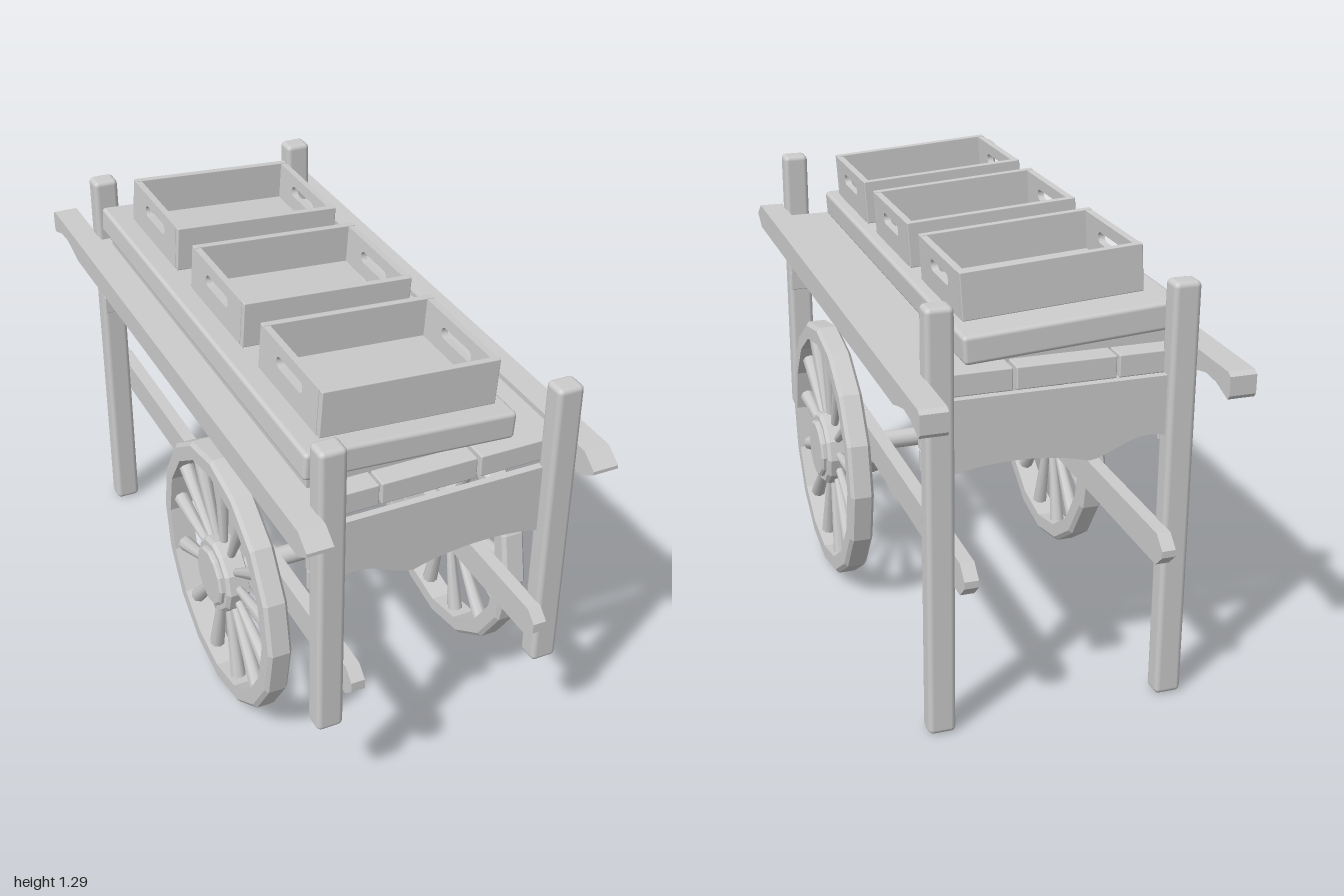
import * as THREE from 'three';
import { RoundedBoxGeometry } from 'three/addons/geometries/RoundedBoxGeometry.js';

const smooth = new THREE.MeshStandardMaterial({ color: 0xcccccc });
const flat = new THREE.MeshStandardMaterial({ color: 0xcccccc, flatShading: true });

function add(parent, name, geometry, material = flat) {
  const mesh = new THREE.Mesh(geometry, material);
  mesh.name = name;
  parent.add(mesh);
  return mesh;
}

// Rounded block given by its limits on each axis
function block(parent, name, [x0, x1], [y0, y1], [z0, z1], radius = 0.006) {
  const mesh = add(parent, name, new RoundedBoxGeometry(x1 - x0, y1 - y0, z1 - z0, 2, radius), smooth);
  mesh.position.set((x0 + x1) / 2, (y0 + y1) / 2, (z0 + z1) / 2);
  return mesh;
}

// Outline of [z, y] points extruded along x from x0 to x1
function sidePiece(points, x0, x1, holes = []) {
  const shape = new THREE.Shape(points.map(([z, y]) => new THREE.Vector2(z, y)));
  shape.holes.push(...holes);
  return new THREE.ExtrudeGeometry(shape, { depth: x1 - x0, bevelEnabled: false, curveSegments: 6 })
    .rotateY(-Math.PI / 2).translate(x1, 0, 0);
}

// Lathe of [radius, x] points around the x axis
function turned(profile, sides) {
  return new THREE.LatheGeometry(profile.map(([r, x]) => new THREE.Vector2(r, x)), sides)
    .rotateZ(-Math.PI / 2);
}

function createWheel() {
  const wheel = new THREE.Group();
  wheel.name = 'wheel';
  // Rim with chamfered outer edges
  add(wheel, 'rim', turned([[0.355, -0.036], [0.398, -0.036], [0.41, -0.026], [0.41, 0.026],
    [0.398, 0.036], [0.355, 0.036], [0.355, -0.036]], 16));
  // Stepped hub
  add(wheel, 'hub', turned([[0, -0.04], [0.09, -0.04], [0.118, -0.03], [0.118, 0.028], [0.108, 0.038],
    [0.092, 0.038], [0.092, 0.047], [0.085, 0.053], [0, 0.053]], 12));
  // Spokes widen towards the rim
  const count = 13;
  for (let i = 0; i < count; i++) {
    const spoke = add(wheel, 'spoke',
      new THREE.CylinderGeometry(0.025, 0.012, 0.27, 8).translate(0, 0.235, 0), smooth);
    spoke.rotation.x = (i / count) * Math.PI * 2;
  }
  return wheel;
}

function createCrate() {
  const crate = new THREE.Group();
  crate.name = 'crate';
  const w = 0.515, h = 0.135, d = 0.384, t = 0.02;
  block(crate, 'crateFloor', [-w / 2 + t, w / 2 - t], [0, t], [-d / 2 + t, d / 2 - t], 0.002);
  for (const s of [-1, 1]) {
    // Long walls
    const wall = block(crate, 'crateWall', [-w / 2, w / 2], [0, h], [-t / 2, t / 2], 0.003);
    wall.position.z = s * (d - t) / 2;
    // End walls with a slotted grip
    const slot = new THREE.Path();
    slot.absarc(0.063, 0.08, 0.017, -Math.PI / 2, Math.PI / 2, false);
    slot.absarc(-0.063, 0.08, 0.017, Math.PI / 2, Math.PI * 1.5, false);
    const b = d / 2 - t;
    const end = add(crate, 'crateEnd',
      sidePiece([[-b, 0], [b, 0], [b, h - 0.003], [-b, h - 0.003]], -t / 2, t / 2, [slot]));
    end.position.x = s * (w - t) / 2;
  }
  return crate;
}

export function createModel() {
  const cart = new THREE.Group();
  cart.name = 'marketCart';

  // Table planks
  for (const span of [[-0.373, -0.17], [-0.163, 0.117], [0.127, 0.373]])
    block(cart, 'tablePlank', span, [0.973, 1.037], [-0.765, 0.845], 0.004);

  for (const s of [-1, 1]) {
    const span = (a, b) => (s > 0 ? [a, b] : [-b, -a]);

    // Corner posts: short in front, reaching the ground at the back
    block(cart, 'frontPost', span(0.298, 0.376), [0.325, 1.235], [0.853, 0.922], 0.015);
    block(cart, 'backPost', span(0.298, 0.376), [0, 1.235], [-0.812, -0.746], 0.015);

    // Side rail, pointed in front and carved into a handle at the back
    add(cart, 'sideRail', sidePiece([[1, 1.005], [0.95, 0.973], [-0.76, 0.973], [-0.81, 0.988],
      [-0.86, 1.0], [-0.92, 0.996], [-0.96, 0.983], [-0.99, 0.973], [-1, 0.985], [-1, 1.038],
      [-0.985, 1.047], [-0.9, 1.047], [0.95, 1.05], [1, 1.015]], ...span(0.373, 0.448)));

    // Lower beam with pointed ends, and the axle bracket below it
    add(cart, 'lowerBeam', sidePiece([[0.965, 0.51], [0.965, 0.48], [0.93, 0.447], [-0.85, 0.447],
      [-0.89, 0.485], [-0.89, 0.505], [-0.85, 0.541], [0.93, 0.541]], ...span(0.26, 0.3)));
    add(cart, 'axleBracket', sidePiece([[0.478, 0.447], [0.478, 0.43], [0.4, 0.365], [0.35, 0.337],
      [0.206, 0.337], [0.156, 0.365], [0.078, 0.43], [0.078, 0.447]], ...span(0.257, 0.3)));

    // Small stepped blocks on the inner faces of the posts
    for (const [name, z, dir] of [['frontPostBlock', 0.855, -1], ['backPostBlock', -0.748, 1]]) {
      for (const [y, depth] of [[[0.83, 0.88], 0.022], [[0.77, 0.83], 0.015]]) {
        const zs = [z, z + dir * depth].sort((a, b) => a - b);
        block(cart, name, span(0.3, 0.374), y, zs, 0.003);
      }
    }

    // Wheel
    const wheel = createWheel();
    wheel.position.set(s * 0.378, 0.414, 0.278);
    if (s < 0) wheel.scale.x = -1;
    cart.add(wheel);
  }

  // Axle
  add(cart, 'axle', new THREE.CylinderGeometry(0.03, 0.03, 0.72, 16).rotateZ(Math.PI / 2), smooth)
    .position.set(0, 0.412, 0.278);

  // Scalloped end aprons between the posts
  const apron = new THREE.Shape();
  apron.moveTo(-0.31, 0.975);
  apron.lineTo(-0.31, 0.8);
  apron.bezierCurveTo(-0.2, 0.835, -0.16, 0.765, -0.08, 0.757);
  apron.bezierCurveTo(0.02, 0.79, 0.18, 0.8, 0.31, 0.765);
  apron.lineTo(0.31, 0.975);
  const apronGeometry = new THREE.ExtrudeGeometry(apron, { depth: 0.022, bevelEnabled: false });
  add(cart, 'frontApron', apronGeometry).position.z = 0.856;
  add(cart, 'backApron', apronGeometry).position.z = -0.79;

  // Wedge that props up the display board
  const wedge = new THREE.Shape();
  wedge.moveTo(-0.345, 1.03);
  wedge.lineTo(0.22, 1.03);
  wedge.lineTo(0.22, 1.045);
  wedge.lineTo(-0.345, 1.083);
  add(cart, 'boardWedge', new THREE.ExtrudeGeometry(wedge, { depth: 1.48, bevelEnabled: false }))
    .position.z = -0.7;

  // Tilted display board carrying three crates
  const display = new THREE.Group();
  display.name = 'display';
  display.position.set(-0.057, 1.14, 0);
  display.rotation.z = -0.066;
  block(display, 'displayBoard', [-0.307, 0.31], [-0.08, 0], [-0.73, 0.81], 0.012);
  for (const z of [0.558, 0.067, -0.426]) {
    const crate = createCrate();
    crate.position.set(0.017, 0, z);
    display.add(crate);
  }
  cart.add(display);

  return cart;
}
